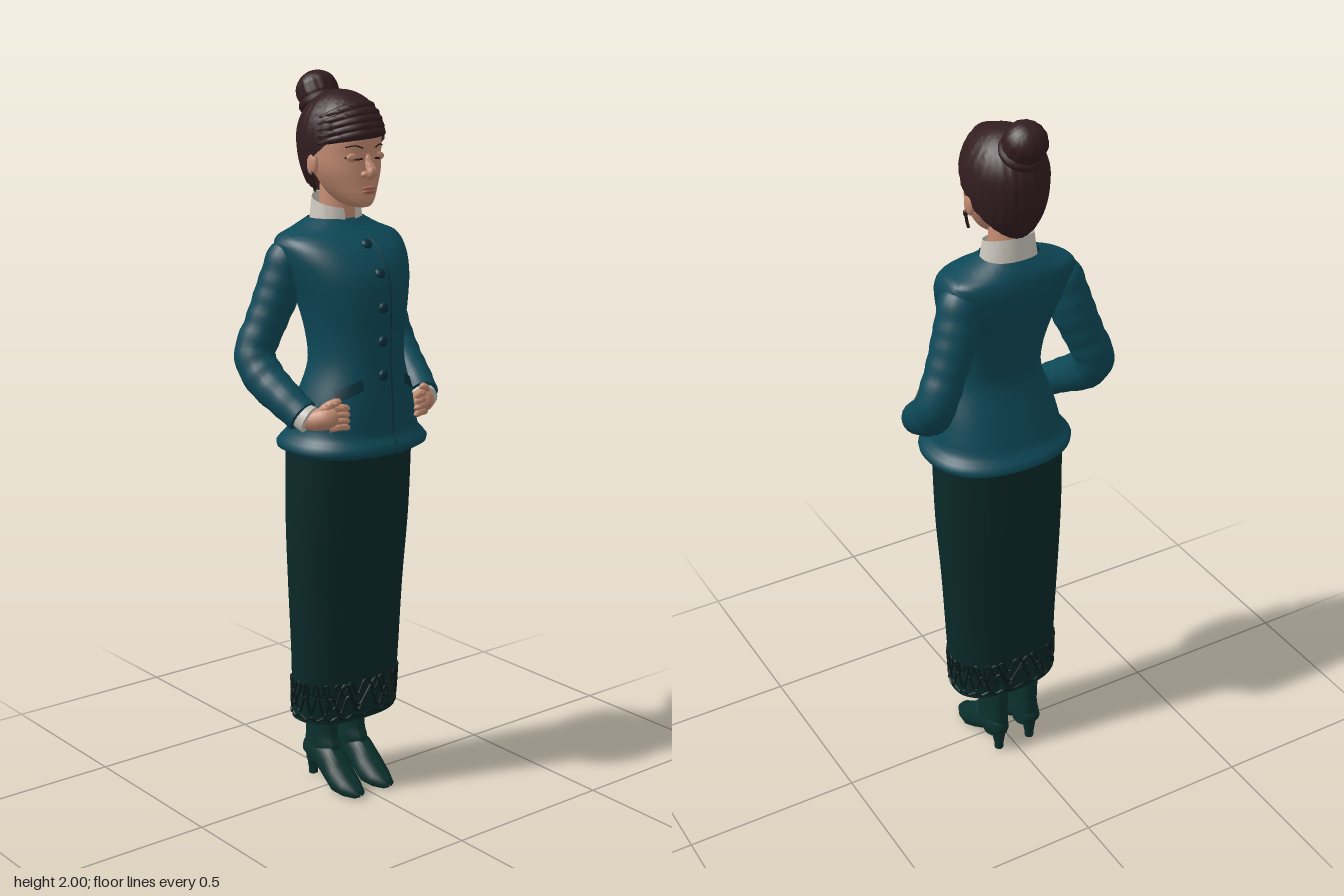
import * as THREE from 'three';
import { mergeVertices, toCreasedNormals } from 'three/addons/utils/BufferGeometryUtils.js';

const paint = (name, color, side = THREE.FrontSide) => {
  const m = new THREE.MeshStandardMaterial({ color, side });
  m.name = name;
  return m;
};

// Grid surface from a point function fn(i, j)
function grid(nu, nv, fn, crease = 0.9) {
  const pos = [], idx = [];
  for (let j = 0; j <= nv; j++) for (let i = 0; i <= nu; i++) pos.push(...fn(i / nu, j / nv));
  for (let j = 0; j < nv; j++) for (let i = 0; i < nu; i++) {
    const a = j * (nu + 1) + i, b = a + 1, c = a + nu + 1, d = c + 1;
    idx.push(a, b, c, b, d, c);
  }
  const g = new THREE.BufferGeometry();
  g.setAttribute('position', new THREE.Float32BufferAttribute(pos, 3));
  g.setIndex(idx);
  return toCreasedNormals(mergeVertices(g, 1e-5), crease);
}

// Body of stacked cross-sections; each row is [y, halfWidth, frontZ, backZ, centreZ]
function body(rows, e = 2.2) {
  const at = (y) => {
    const n = rows.length;
    let s = 0;
    while (s < n - 2 && y > rows[s + 1][0]) s++;
    const P = (i) => rows[Math.min(n - 1, Math.max(0, i))];
    const h = P(s + 1)[0] - P(s)[0], t = (y - P(s)[0]) / h;
    return P(s).map((p, k) => {
      const q = P(s + 1)[k];
      const m0 = (q - P(s - 1)[k]) / (P(s + 1)[0] - P(s - 1)[0]) * h;
      const m1 = (P(s + 2)[k] - p) / (P(s + 2)[0] - P(s)[0]) * h;
      const t2 = t * t, t3 = t2 * t;
      return p * (2 * t3 - 3 * t2 + 1) + m0 * (t3 - 2 * t2 + t) + q * (3 * t2 - 2 * t3) + m1 * (t3 - t2);
    });
  };
  const bend = (c) => Math.sign(c) * Math.abs(c) ** (2 / e);
  const point = (a, y, out = 0) => {
    const [, w, f, b, c] = at(y), k = Math.cos(a);
    return [(w + out) * bend(Math.sin(a)), y, c + ((k > 0 ? f - c : c - b) + out) * bend(k)];
  };
  const front = (x, y) => {
    const [, w, f, , c] = at(y);
    return c + (f - c) * Math.max(0, 1 - Math.abs(x / w) ** e) ** (1 / e);
  };
  const sub = 5, nv = (rows.length - 1) * sub;
  const geometry = grid(48, nv, (u, v) => {
    const k = Math.round(v * nv), s = Math.min(rows.length - 2, Math.floor(k / sub));
    const y = THREE.MathUtils.lerp(rows[s][0], rows[s + 1][0], k / sub - s);
    return point(u * Math.PI * 2, y);
  });
  return { geometry, point, front };
}

// Tapered limb through rows of [x, y, z, radius]
function limb(rows, seg = 24, sides = 16, ripple = 0) {
  const curve = new THREE.CatmullRomCurve3(rows.map((r) => new THREE.Vector3(r[0], r[1], r[2])));
  const g = new THREE.TubeGeometry(curve, seg, 1, sides), p = g.attributes.position;
  const v = new THREE.Vector3();
  for (let j = 0; j <= seg; j++) {
    const c = curve.getPointAt(j / seg), t = curve.getUtoTmapping(j / seg) * (rows.length - 1);
    const s = Math.min(rows.length - 2, Math.floor(t));
    const r = THREE.MathUtils.lerp(rows[s][3], rows[s + 1][3], t - s) * (1 + ripple * Math.sin(j * 1.5));
    for (let i = 0; i <= sides; i++) {
      const k = j * (sides + 1) + i;
      v.fromBufferAttribute(p, k).sub(c).multiplyScalar(r).add(c);
      p.setXYZ(k, v.x, v.y, v.z);
    }
  }
  g.deleteAttribute('uv');
  g.deleteAttribute('normal');
  return toCreasedNormals(mergeVertices(g, 1e-5), 1.1);
}

const cord = (pts, r, closed = false) => new THREE.TubeGeometry(
  new THREE.CatmullRomCurve3(pts.map((p) => new THREE.Vector3(...p)), closed), pts.length * 2, r, 6, closed);

export function createModel() {
  const model = new THREE.Group();
  const two = THREE.DoubleSide;
  const skin = paint('skin', 0xc48c72), hair = paint('dark brown hair', 0x321d20, two);
  const teal = paint('teal cloth', 0x0d4857, two), trim = paint('dark teal trim', 0x08303b, two);
  const green = paint('dark green cloth', 0x0a2828, two), lace = paint('black lace', 0x071818);
  const shoe = paint('green leather', 0x0b302d), white = paint('off white cloth', 0xcbc6bd, two);
  const lip = paint('lips', 0xa8655a), dark = paint('dark brown', 0x2a1a18);
  const add = (name, geo, mat, x = 0, y = 0, z = 0, parent = model) => {
    const m = new THREE.Mesh(geo, mat);
    m.name = name;
    m.position.set(x, y, z);
    parent.add(m);
    return m;
  };
  const ball = (name, mat, x, y, z, sx, sy, sz) => {
    const m = add(name, new THREE.SphereGeometry(1, 20, 14), mat, x, y, z);
    m.scale.set(sx, sy, sz);
    return m;
  };

  // Long skirt with embroidered hem
  const skirt = body([[0.22, 0.16, 0.092, -0.105, -0.01], [0.4, 0.166, 0.1, -0.105, 0],
    [0.6, 0.175, 0.112, -0.107, 0], [0.8, 0.185, 0.126, -0.11, 0.01], [1.03, 0.187, 0.136, -0.108, 0.02]], 2.4);
  add('skirt', skirt.geometry, green);
  [[0.3, 0.035, 12, 0], [0.275, 0.025, 18, 1], [0.32, 0.02, 24, 2], [0.235, 0.004, 20, 0]].forEach(([y, h, n, ph]) => {
    const pts = [];
    for (let i = 0; i < 144; i++) {
      const a = i / 144 * Math.PI * 2;
      pts.push(skirt.point(a, y + h * Math.sin(a * n + ph), 0.001));
    }
    add('hemEmbroidery', cord(pts, 0.0035, true), lace);
  });

  // Fitted jacket
  const jacket = body([[0.998, 0.001, 0.03, 0.028, 0.029], [1.0, 0.188, 0.178, -0.125, 0.03], [1.06, 0.184, 0.178, -0.115, 0.03],
    [1.14, 0.165, 0.176, -0.09, 0.03], [1.24, 0.132, 0.168, -0.062, 0.035], [1.32, 0.132, 0.167, -0.075, 0.03],
    [1.41, 0.15, 0.168, -0.105, 0.02], [1.48, 0.172, 0.157, -0.13, -0.01], [1.54, 0.188, 0.12, -0.135, -0.04],
    [1.575, 0.178, 0.076, -0.13, -0.05], [1.595, 0.13, 0.045, -0.122, -0.05], [1.62, 0.08, 0.018, -0.105, -0.045]], 2.3);
  add('jacket', jacket.geometry, teal);
  const onFront = (x, y, out) => [x, y, jacket.front(x, y) + out];
  const seam = [];
  for (let y = 1.005; y < 1.6; y += 0.03) seam.push(onFront(0.02, y, 0.0));
  add('frontSeam', cord(seam, 0.003), trim);
  for (const y of [1.56, 1.49, 1.4, 1.31, 1.22]) {
    const b = ball('button', trim, ...onFront(-0.008, y, 0.003), 0.015, 0.015, 0.009);
    if (y > 1.45) b.rotation.x = -0.7;
  }

  // Standing collar, open at the front, and neck
  add('neck', new THREE.CylinderGeometry(0.046, 0.055, 0.15, 24), skin, 0, 1.645, -0.035);
  add('collar', grid(40, 6, (u, v) => {
    const a = 0.16 + 0.12 * v + u * (Math.PI * 2 - 0.32 - 0.24 * v), c = Math.cos(a);
    return [(0.08 - 0.012 * v) * Math.sin(a), 1.595 + v * (0.07 - 0.018 * c), -0.04 + (0.064 - 0.004 * v) * c];
  }), white);

  // Head and face
  const head = body([[1.652, 0.002, 0.07, 0.05, 0.06], [1.657, 0.025, 0.092, 0.01, 0.05], [1.675, 0.046, 0.101, -0.03, 0.03],
    [1.71, 0.07, 0.1, -0.06, 0.01], [1.75, 0.088, 0.098, -0.08, 0], [1.79, 0.094, 0.096, -0.1, -0.01],
    [1.84, 0.093, 0.099, -0.11, -0.015], [1.88, 0.08, 0.078, -0.1, -0.02], [1.93, 0.002, -0.01, -0.03, -0.02]], 2.1);
  add('head', head.geometry, skin);
  const onFace = (x, y, out = 0) => [x, y, head.front(x, y) + out];
  add('nose', limb([[0, 1.795, 0.088, 0.008], [0, 1.77, 0.099, 0.011], [0, 1.748, 0.11, 0.015], [0, 1.738, 0.1, 0.012],
    [0, 1.733, 0.09, 0]]), skin);
  ball('upperLip', lip, 0, 1.706, 0.1, 0.024, 0.006, 0.008);
  ball('lowerLip', lip, 0, 1.697, 0.1, 0.02, 0.007, 0.008);
  for (const s of [1, -1]) {
    ball('nostril', skin, s * 0.014, 1.742, 0.098, 0.011, 0.009, 0.011);
    ball('eyelid', skin, ...onFace(s * 0.041, 1.786, -0.003), 0.021, 0.012, 0.008);
    const line = (y, r, rise) => cord([0.02, 0.04, 0.062].map((x, i) => onFace(s * x, y + [0, rise, 0.003][i], 0.003)), r);
    add('eye', line(1.783, 0.0025, -0.002), dark);
    add('eyebrow', line(1.81, 0.002, 0.007), dark);
    ball('ear', skin, s * 0.098, 1.765, -0.015, 0.011, 0.032, 0.02);
    ball('earStud', dark, s * 0.105, 1.738, -0.008, 0.007, 0.009, 0.007);
    add('earring', cord([[0.104, 1.738], [0.101, 1.715], [0.096, 1.695]].map(([x, y]) => [s * x, y, -0.006]), 0.004), dark);
  }

  // Swept up hair with combed ridges
  const hairPoint = (a, y, out = 0) => {
    const d = y - 1.83, r = Math.sqrt(Math.max(0, 1 - (d / (d > 0 ? 0.125 : 0.19)) ** 2));
    const k = r * (1 + 0.012 * Math.sin(a * 26)) + out;
    return [0.108 * k * Math.sin(a), y, -0.02 + 0.13 * k * Math.cos(a)];
  };
  add('hair', grid(104, 28, (u, v) => {
    const a = u * Math.PI * 2, c = Math.cos(a);
    const low = c > 0 ? 1.772 + 0.068 * Math.min(1, c * 1.5) : 1.772 + 0.09 * c;
    return hairPoint(a, low + (1.955 - low) * Math.sin(v * Math.PI / 2));
  }, 1.2), hair);
  for (let i = 0; i < 5; i++) {
    const pts = [];
    for (let k = 0; k <= 8; k++) {
      const t = k / 8, a = 1.0 - 2.5 * t;
      const y = 1.842 + i * 0.017 + 0.012 * Math.sin(t * Math.PI) - 0.03 * t * t;
      pts.push([...hairPoint(a, y, -0.04), 0.004 + 0.011 * Math.sin(Math.PI * Math.min(1, t + 0.05))]);
    }
    add('fringeLock', limb(pts, 30, 8), hair);
  }
  const bun = add('bun', grid(64, 18, (u, v) => {
    const a = u * Math.PI * 2, t = (v - 0.5) * Math.PI, r = 0.057 * (1 + 0.02 * Math.sin(a * 14));
    return [r * Math.cos(t) * Math.sin(a), 0.055 * Math.sin(t), r * Math.cos(t) * Math.cos(a)];
  }, 1.2), hair, 0, 1.945, -0.12);
  bun.rotation.x = -0.5;
  const band = add('bunBand', new THREE.TorusGeometry(0.045, 0.016, 10, 32), hair, 0, 1.917, -0.105);
  band.rotation.x = Math.PI / 2 - 0.5;

  for (const s of [1, -1]) {
    const m = (rows) => rows.map(([x, ...r]) => [s * x, ...r]);

    // Bent sleeve and white cuff
    add('sleeve', limb(m([[0.13, 1.57, -0.05, 0.02], [0.148, 1.53, -0.055, 0.055], [0.175, 1.43, -0.07, 0.06],
      [0.21, 1.34, -0.082, 0.055], [0.24, 1.265, -0.087, 0.055], [0.238, 1.21, -0.05, 0.056], [0.222, 1.155, 0.03, 0.049],
      [0.205, 1.117, 0.085, 0.045], [0.203, 1.114, 0.088, 0]]), 44, 20, 0.02), teal);
    add('cuff', limb(m([[0.212, 1.13, 0.065, 0.036], [0.198, 1.112, 0.1, 0.038], [0.196, 1.111, 0.102, 0]]), 8), white);

    // Hand tucked into the pocket
    add('palm', limb(m([[0.205, 1.115, 0.08, 0.025], [0.188, 1.112, 0.108, 0.028], [0.165, 1.12, 0.13, 0.033],
      [0.145, 1.128, 0.142, 0.026], [0.135, 1.13, 0.148, 0]])), skin);
    for (let f = 0; f < 4; f++) {
      const y = 1.147 - f * 0.017;
      add('finger', limb(m([[0.165, y - 0.005, 0.138, 0.011], [0.14, y, 0.154, 0.011], [0.118, y - 0.004, 0.158, 0.009],
        [0.112, y - 0.006, 0.155, 0]]), 12, 10), skin);
    }
    add('thumb', limb(m([[0.188, 1.122, 0.115, 0.014], [0.168, 1.152, 0.138, 0.013], [0.145, 1.164, 0.153, 0.011],
      [0.135, 1.165, 0.155, 0]]), 12, 10), skin);

    // Slanted pocket flap
    add('pocketFlap', grid(8, 3, (u, v) => {
      const x = 0.07 + 0.062 * u;
      return onFront(s * x, 1.185 + 0.03 * v - 0.03 * u, 0.006);
    }), trim);

    // Leg, pointed shoe and slender heel
    const leg = body([[0.06, 0.034, -0.02, -0.1, -0.06], [0.11, 0.036, 0.025, -0.106, -0.05], [0.15, 0.035, 0.012, -0.104, -0.05],
      [0.22, 0.038, 0.01, -0.104, -0.048], [0.42, 0.045, 0.02, -0.095, -0.04]], 2);
    add('leg', leg.geometry, shoe, s * 0.05);
    const soles = [[0.136, 0.002, 0.008, 0.014], [0.125, 0.022, 0.003, 0.028], [0.09, 0.038, 0, 0.05], [0.05, 0.045, 0.002, 0.085],
      [0.015, 0.041, 0.02, 0.122], [-0.03, 0.036, 0.048, 0.14], [-0.075, 0.035, 0.066, 0.135], [-0.1, 0.025, 0.07, 0.12],
      [-0.11, 0.001, 0.085, 0.1]];
    add('shoe', grid(28, soles.length - 1, (u, v) => {
      const [z, w, lo, hi] = soles[Math.round(v * (soles.length - 1))], a = -u * Math.PI * 2;
      const up = Math.sin(a), mid = lo + (hi - lo) * 0.35;
      return [w * Math.cos(a), mid + (up > 0 ? (hi - mid) * up : (mid - lo) * Math.max(-1, up * 1.3)), z];
    }), shoe, s * 0.053);
    add('heel', limb([[s * 0.052, 0.1, -0.075, 0.024], [s * 0.052, 0.06, -0.082, 0.02], [s * 0.052, 0.02, -0.084, 0.013],
      [s * 0.052, 0.001, -0.084, 0.013], [s * 0.052, 0, -0.084, 0]], 16, 14), shoe);
  }
  return model;
}
